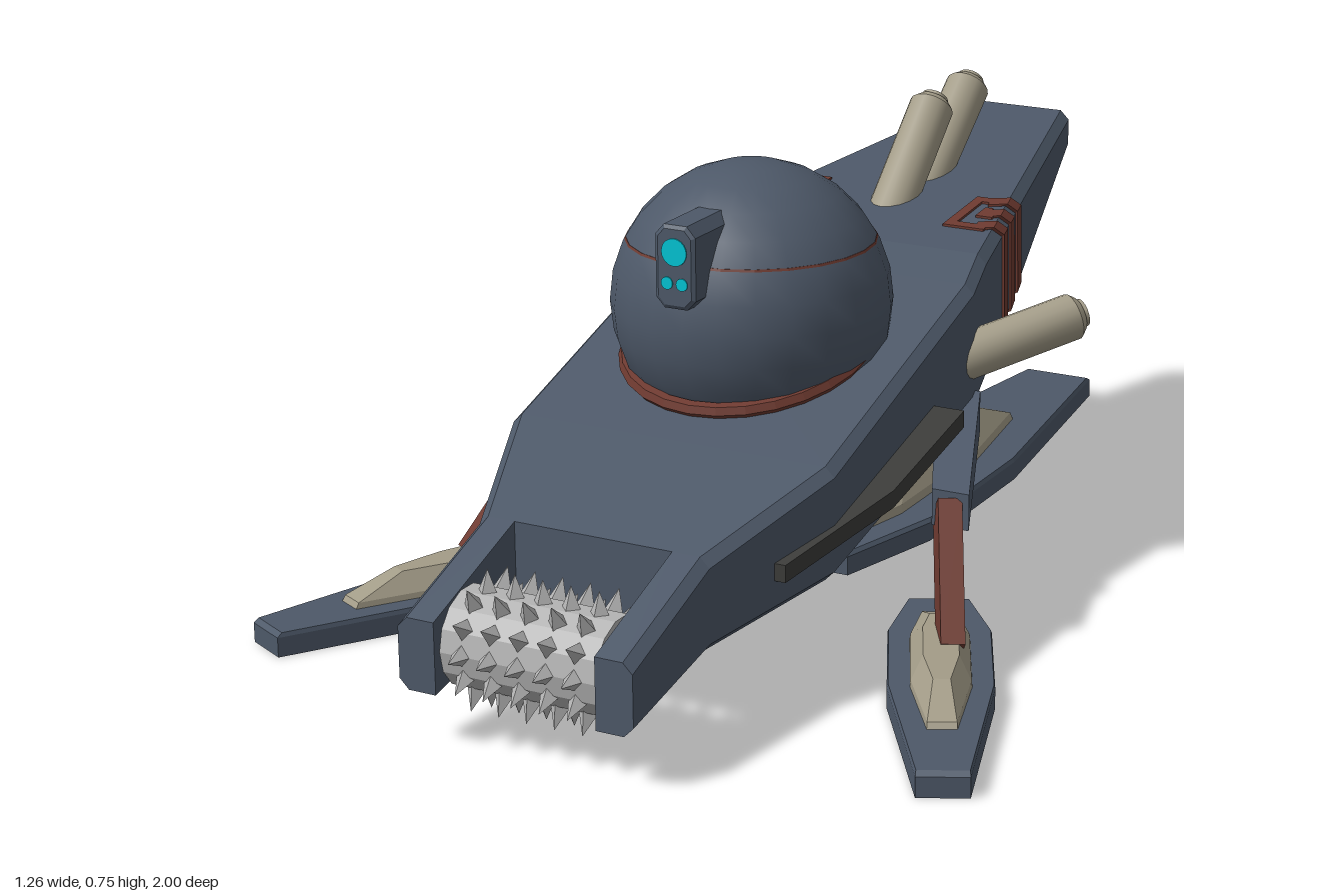
import * as THREE from 'three';
import { toCreasedNormals } from 'three/addons/utils/BufferGeometryUtils.js';

const mat = (color, flatShading = true) => new THREE.MeshStandardMaterial({ color, flatShading });
const HULL = mat(0x4d5868), SMOOTH = mat(0x4d5868, false), RUST = mat(0x6e3a30), CREAM = mat(0xa39c88),
  TUBE = mat(0xa39c88, false), DARK = mat(0x3b3b39), STEEL = mat(0xb4b4b4), CYAN = mat(0x00c4d4);

// Closed faceted solid through rings of equal point count; faces are turned outward by signed volume
function loft(rings) {
  const n = rings[0].length, tris = [];
  for (let r = 0; r < rings.length - 1; r++) {
    for (let i = 0; i < n; i++) {
      const j = (i + 1) % n, a = rings[r], b = rings[r + 1];
      tris.push([a[i], a[j], b[j]], [a[i], b[j], b[i]]);
    }
  }
  const first = rings[0], last = rings[rings.length - 1];
  for (let i = 1; i < n - 1; i++) {
    tris.push([first[0], first[i + 1], first[i]], [last[0], last[i], last[i + 1]]);
  }
  const v = (p) => new THREE.Vector3(...p);
  const volume = tris.reduce((s, [a, b, c]) => s + v(a).dot(v(b).cross(v(c))), 0);
  if (volume < 0) tris.forEach((t) => t.reverse());
  const geometry = new THREE.BufferGeometry();
  geometry.setAttribute('position', new THREE.Float32BufferAttribute(tris.flat(2), 3));
  geometry.computeVertexNormals();
  return geometry;
}

// Hull stations: z, half width, top, bottom
const STATIONS = [
  [0.97, 0.2, 0.205, 0.09], [0.745, 0.2, 0.288, 0.137], [0.51, 0.285, 0.368, 0.185],
  [0.02, 0.285, 0.525, 0.3], [-0.07, 0.265, 0.55, 0.325], [-0.77, 0.105, 0.622, 0.545],
];
function station(z) {
  let i = 0;
  while (i < STATIONS.length - 2 && z < STATIONS[i + 1][0]) i++;
  const a = STATIONS[i], b = STATIONS[i + 1], t = (z - a[0]) / (b[0] - a[0]);
  return a.map((value, k) => value + (b[k] - value) * t);
}
const BEVEL = 0.016;
// Half outline of the hull from bottom to top, starting at x = inner
function halfSection([z, w, top, bottom], inner) {
  return [[inner, bottom, z], [w - BEVEL, bottom, z], [w, bottom + BEVEL, z],
    [w, top - BEVEL, z], [w - BEVEL, top, z], [inner, top, z]];
}

export function createModel() {
  const model = new THREE.Group();
  const add = (name, geometry, material, parent = model) => {
    const mesh = new THREE.Mesh(geometry, material);
    mesh.name = name;
    parent.add(mesh);
    return mesh;
  };
  const mirrorX = (rings, side) => rings.map((ring) => ring.map(([x, y, z]) => [x * side, y, z]));
  const UP = new THREE.Vector3(0, 1, 0);
  // Centres a mesh between two points with its y axis along them
  const span = (mesh, a, b) => {
    const p = new THREE.Vector3(...a), q = new THREE.Vector3(...b);
    mesh.position.copy(p).add(q).multiplyScalar(0.5);
    mesh.quaternion.setFromUnitVectors(UP, q.sub(p).normalize());
    return mesh;
  };
  const dist = (a, b) => Math.hypot(a[0] - b[0], a[1] - b[1], a[2] - b[2]);

  // Wedge hull with two nose arms around the drum
  add('hull', loft(STATIONS.slice(1).map((s) => {
    const half = halfSection(s, 0).slice(1, 5);
    return [...half, ...half.map(([x, y, z]) => [-x, y, z]).reverse()];
  })), HULL);
  for (const side of [1, -1]) {
    add('noseArm', loft(mirrorX(STATIONS.slice(0, 2).map((s) => halfSection(s, 0.137)), side)), HULL);
  }

  // Spiked drum
  const drum = new THREE.Group();
  drum.name = 'spikedDrum';
  drum.position.set(0, 0.157, 0.885);
  model.add(drum);
  add('drumCore', new THREE.CylinderGeometry(0.078, 0.078, 0.265, 14), STEEL, drum).rotation.z = Math.PI / 2;
  const spike = new THREE.ConeGeometry(0.018, 0.04, 4);
  for (let row = -2; row <= 2; row++) {
    for (let k = 0; k < 12; k++) {
      const a = (k / 12) * Math.PI * 2;
      const mesh = add('spike', spike, STEEL, drum);
      mesh.position.set(row * 0.048, Math.cos(a) * 0.091, Math.sin(a) * 0.091);
      mesh.rotation.x = a;
    }
  }

  // Dome with its bands
  const dome = new THREE.Group();
  dome.name = 'domeGroup';
  dome.position.set(0, 0.525, 0.245);
  model.add(dome);
  add('dome', new THREE.SphereGeometry(0.226, 24, 14), SMOOTH, dome);
  add('domeBand', new THREE.CylinderGeometry(0.2, 0.206, 0.014, 24), RUST, dome).position.y = 0.098;
  const baseRing = add('domeBaseRing', new THREE.TorusGeometry(0.2, 0.013, 6, 28), RUST, dome);
  baseRing.rotation.x = Math.PI / 2 + 0.31;
  baseRing.position.set(0, -0.066, 0.008);

  // Eye housing and lenses
  const eye = new THREE.Shape([[-0.02, 0.572], [0.02, 0.572], [0.035, 0.588], [0.035, 0.688], [0.02, 0.705],
    [-0.02, 0.705], [-0.035, 0.688], [-0.035, 0.588]].map(([x, y]) => new THREE.Vector2(x, y)));
  const eyeBody = add('eyeHousing', new THREE.ExtrudeGeometry(eye,
    { depth: 0.108, bevelEnabled: true, bevelThickness: 0.004, bevelSize: 0.006, bevelOffset: -0.006, bevelSegments: 1 }), HULL);
  eyeBody.position.z = 0.378;
  for (const [x, y, r] of [[0, 0.663, 0.022], [-0.013, 0.613, 0.01], [0.013, 0.613, 0.01]]) {
    const lens = add('eyeLens', new THREE.CylinderGeometry(r, r, 0.006, 20), CYAN);
    lens.rotation.x = Math.PI / 2;
    lens.position.set(x, y, 0.489);
  }

  // Cannons: cylinders with a chamfer and a small end plug
  const cannon = (name, base, tip, r) => {
    const h = dist(base, tip) / 2;
    const profile = [[0, -h], [r, -h], [r, h - 0.02], [r * 0.72, h - 0.008], [r * 0.6, h - 0.008], [r * 0.6, h], [0, h]];
    const lathe = new THREE.LatheGeometry(profile.map(([x, y]) => new THREE.Vector2(x, y)), 16);
    span(add(name, toCreasedNormals(lathe, 0.5), TUBE), base, tip);
  };
  cannon('backCannon', [0, 0.5, -0.2], [0, 0.71, -0.425], 0.039);
  cannon('backCannon', [0, 0.5, -0.305], [0, 0.714, -0.572], 0.039);
  for (const side of [1, -1]) {
    cannon('sideCannon', [0.23 * side, 0.385, 0.05], [0.402 * side, 0.448, -0.157], 0.039);
  }

  // Side fins, front legs and painted bands, mirrored
  const finRing = (z, x, y) => [[0.2, y - 0.014, z], [x, y - 0.014, z], [x, y + 0.014, z], [0.2, y + 0.014, z]];
  for (const side of [1, -1]) {
    add('sideFin', loft(mirrorX([finRing(0.165, 0.338, 0.35), finRing(0.4, 0.33, 0.29),
      finRing(0.625, 0.262, 0.233)], side)), DARK);

    // Leg housing and strut, turned in line with the ski
    const hip = [0.25 * side, 0.305, 0.0], knee = [0.37 * side, 0.24, 0.28], foot = [0.432 * side, 0.06, 0.405];
    add('frontLegHousing', loft([[hip, 0.04, 0.035], [knee, 0.032, 0.03]].map(([[x, y, z], w, h]) =>
      [[x - w, y - h, z], [x + w, y - h, z], [x + w, y + h, z], [x - w, y + h, z]])), HULL);
    const strutTop = [0.358 * side, 0.24, 0.265];
    span(add('frontLegStrut', new THREE.BoxGeometry(0.038, dist(strutTop, foot), 0.066), RUST), strutTop, foot)
      .rotateY(0.4 * side);

    // Three bands wrapped around the flank
    for (let k = 0; k < 3; k++) {
      const rings = [];
      for (let p = 5; p >= 0; p--) {
        const z0 = -0.165 - 0.054 * k - 0.014 * (5 - p);
        const at = (z, out) => {
          const s = station(z), point = halfSection(s, s[1] - 0.045)[p];
          const dy = p > 2 ? out : -out, dx = p > 0 && p < 5 ? out : 0;
          return [point[0] + dx, point[1] + dy, point[2]];
        };
        rings.push([at(z0, 0.004), at(z0 - 0.03, 0.004), at(z0 - 0.03, -0.004), at(z0, -0.004)]);
      }
      add('flankBand', loft(mirrorX(rings, side)), RUST);
    }
    // Square hook pattern on deck and belly
    for (const [face, dz] of [[2, 0], [3, -0.06]]) {
      for (const [xa, xb, za, zb] of [[0.14, 0.158, -0.303, -0.165], [0.14, 0.215, -0.185, -0.165],
        [0.14, 0.19, -0.303, -0.283], [0.175, 0.19, -0.26, -0.22], [0.175, 0.205, -0.235, -0.22]]) {
        const shift = dz / 4;
        add('hookPattern', loft(mirrorX([za + dz, zb + dz].map((z) => {
          const y = station(z)[face];
          return [[xa + shift, y - 0.004, z], [xb + shift, y - 0.004, z],
            [xb + shift, y + 0.004, z], [xa + shift, y + 0.004, z]];
        }), side)), RUST);
      }
    }
  }

  // Rear leg
  const box = (w, y, z0, z1) => [[-w, y, z0], [w, y, z0], [w, y, z1], [-w, y, z1]];
  add('rearLegHousing', loft([box(0.06, 0.4, -0.05, -0.285), box(0.058, 0.31, -0.065, -0.28),
    box(0.04, 0.19, -0.175, -0.265)]), HULL);
  const ankle = [0, 0.23, -0.2], heel = [0, 0.06, -0.325];
  span(add('rearLegStrut', new THREE.BoxGeometry(0.045, dist(ankle, heel), 0.06), RUST), ankle, heel);

  // Skis: bevelled plate with a sloped pad, long taper towards local -z
  const outline = (pts, s, y, k = 1, cz = 0) => [...pts, ...pts.map(([x, z]) => [-x, z]).reverse()]
    .map(([x, z]) => [x * s * k, y, (cz + (z - cz) * k) * s]);
  const PLATE = [[0.063, -0.53], [0.13, -0.03], [0.13, 0.32], [0.078, 0.53]];
  const PAD = [[0.036, -0.35], [0.075, -0.1], [0.075, 0.2], [0.045, 0.35]];
  const ski = (name, s, x, z, angle, padZ) => {
    const group = new THREE.Group();
    group.name = name;
    group.position.set(x, 0, z);
    group.rotation.y = angle;
    model.add(group);
    add('skiPlate', loft([outline(PLATE, s, 0), outline(PLATE, s, 0.033), outline(PLATE, s, 0.04, 0.975)]), HULL, group);
    add('skiPad', loft([outline(PAD, s, 0.038), outline(PAD, s, 0.04 + 0.015 * s, 0.97),
      outline(PAD, s, 0.04 + 0.065 * s, 0.58)]), CREAM, group).position.z = padZ * s;
  };
  ski('rearSki', 1, 0, -0.47, 0, 0.12);
  for (const side of [1, -1]) ski('frontSki', 0.635, 0.446 * side, 0.468, Math.PI + 0.456 * side, 0.055);

  return model;
}
